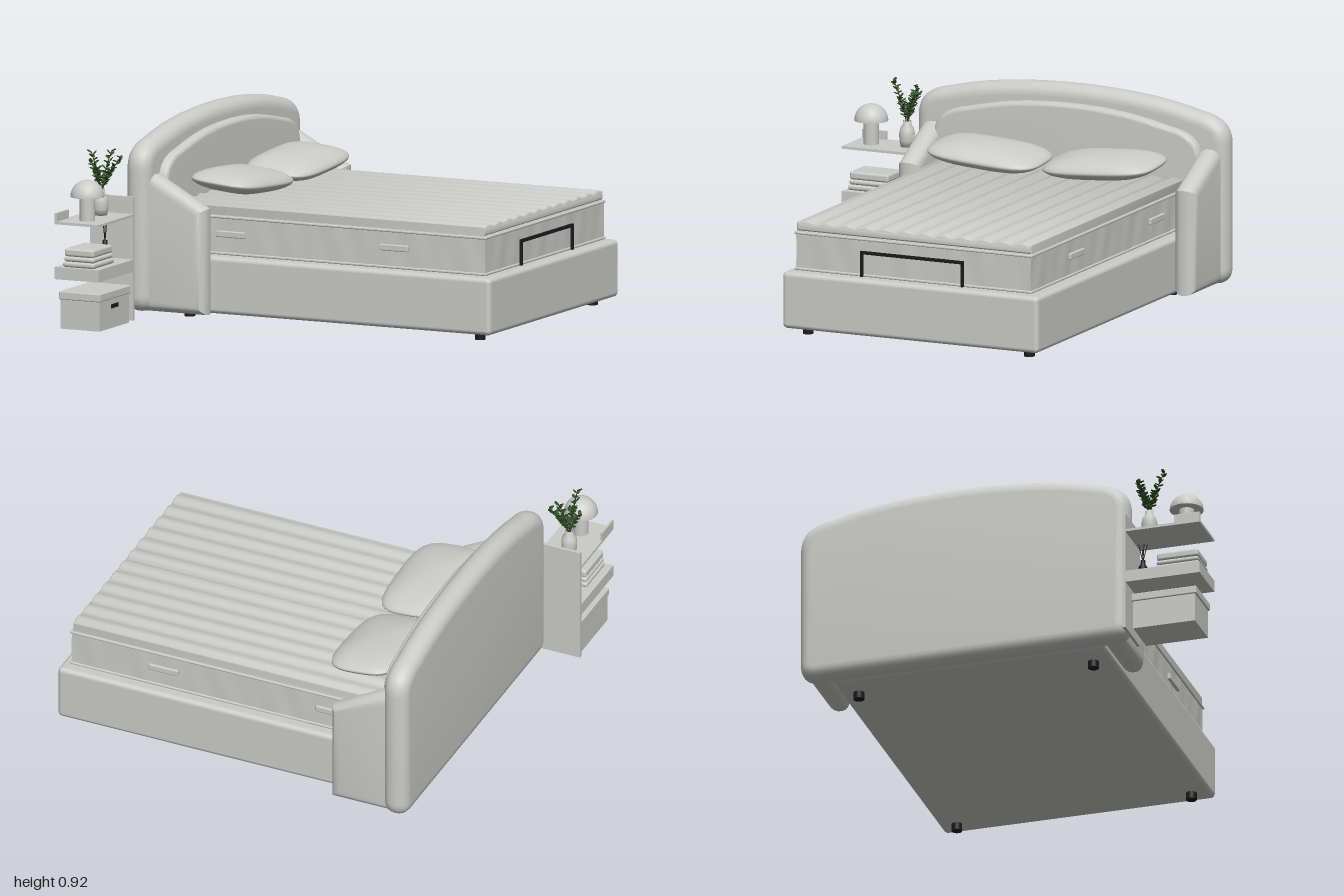
import * as THREE from 'three';
import { toCreasedNormals } from 'three/addons/utils/BufferGeometryUtils.js';
import { RoundedBoxGeometry } from 'three/addons/geometries/RoundedBoxGeometry.js';

const mat = (name, color, side = THREE.FrontSide) => {
  const m = new THREE.MeshStandardMaterial({ color, side });
  m.name = name;
  return m;
};

export function createModel() {
  const root = new THREE.Group();
  root.name = 'bedroomSet';
  const fabric = mat('paleGrey', 0xcbcbc9);
  const dark = mat('black', 0x1b1b1b);
  const green = mat('leafGreen', 0x2f4a25, THREE.DoubleSide);
  const ZC = -0.2; // centre line of the bed

  const add = (name, geo, material = fabric, x = 0, y = 0, z = 0, parent = root) => {
    const m = new THREE.Mesh(geo, material);
    m.name = name;
    m.position.set(x, y, z);
    parent.add(m);
    return m;
  };
  // Box given by its limits on each axis, optionally rounded
  const box = (name, [x0, x1], [y0, y1], [z0, z1], r = 0, material = fabric) => {
    const s = [x1 - x0, y1 - y0, z1 - z0];
    const g = r ? new RoundedBoxGeometry(...s, 3, r) : new THREE.BoxGeometry(...s);
    return add(name, g, material, (x0 + x1) / 2, (y0 + y1) / 2, (z0 + z1) / 2);
  };
  const cyl = (name, r, y0, y1, x, z, material = fabric) =>
    add(name, new THREE.CylinderGeometry(r, r, y1 - y0, 28), material, x, (y0 + y1) / 2, z);
  // Padded slab: outline extruded with a rounded rim inside its outer size
  const padded = (shape, depth, r, crease = 0.6) => toCreasedNormals(new THREE.ExtrudeGeometry(shape, {
    depth: depth - 2 * r, bevelEnabled: true, bevelThickness: r, bevelSize: r,
    bevelOffset: -r, bevelSegments: 6, curveSegments: 16,
  }).translate(0, 0, r), crease);

  // Arched headboard and its inner panel
  const arch = (w, y0, side, shoulder, top) => {
    const s = new THREE.Shape();
    const c = 0.08;
    s.moveTo(-w + c, y0);
    s.lineTo(w - c, y0);
    s.quadraticCurveTo(w, y0, w, y0 + c);
    s.lineTo(w, side);
    s.bezierCurveTo(w, shoulder - 0.03, w - 0.06, shoulder + 0.01, w - 0.16, shoulder + 0.025);
    s.bezierCurveTo(w - 0.34, top - 0.02, 0.22, top, 0, top);
    s.bezierCurveTo(-0.22, top, -w + 0.34, top - 0.02, -w + 0.16, shoulder + 0.025);
    s.bezierCurveTo(-w + 0.06, shoulder + 0.01, -w, shoulder - 0.03, -w, side);
    s.lineTo(-w, y0 + c);
    s.quadraticCurveTo(-w, y0, -w + c, y0);
    return s;
  };
  add('headboard', padded(arch(0.8, 0.035, 0.7, 0.82, 0.915), 0.125, 0.058).rotateY(Math.PI / 2),
    fabric, -0.847, 0, ZC);
  add('headboardPanel', padded(arch(0.686, 0.1, 0.62, 0.745, 0.834), 0.09, 0.02).rotateY(Math.PI / 2),
    fabric, -0.768, 0, ZC);

  // Side wings
  const wing = new THREE.Shape([
    [-0.78, 0.037], [-0.447, 0.037], [-0.447, 0.535], [-0.71, 0.68], [-0.78, 0.68],
  ].map((p) => new THREE.Vector2(...p)));
  for (const z of [-0.973, 0.453]) add('wing', padded(wing, 0.113, 0.05), fabric, 0, 0, z);

  // Base and feet
  box('bedBase', [-0.76, 0.988], [0.034, 0.302], [-0.862, 0.455], 0.022);
  for (const x of [-0.62, 0.893]) for (const z of [-0.775, 0.365]) {
    cyl('foot', 0.025, 0, 0.04, x, z, dark);
  }

  // Mattress with softly rippled sides
  const core = new THREE.BoxGeometry(1.615, 0.18, 1.212, 90, 4, 70);
  const p = core.attributes.position;
  for (let i = 0; i < p.count; i++) {
    const x = p.getX(i), z = p.getZ(i);
    const ripple = (t) => 0.003 * Math.sin(t * 38) * Math.sin(t * 9 + 1) * Math.cos(p.getY(i) * 17);
    if (Math.abs(z) > 0.6) p.setZ(i, z + Math.sign(z) * ripple(x));
    if (Math.abs(x) > 0.8) p.setX(i, x + Math.sign(x) * ripple(z));
  }
  core.computeVertexNormals();
  add('mattress', core, fabric, 0.13, 0.4, ZC);
  for (const y of [0.313, 0.483]) {
    box('mattressPiping', [-0.685, 0.945], [y - 0.006, y + 0.006], [-0.813, 0.413], 0.005);
  }
  // Handles stitched on both long sides
  for (const x of [-0.383, 0.468]) for (const s of [-1, 1]) {
    const z = ZC + s * 0.612;
    box('mattressHandle', [x - 0.075, x + 0.075], [0.39, 0.42], [z - 0.008, z + 0.008], 0.005);
  }

  // Ribbed topper
  const top = new THREE.Shape();
  top.moveTo(-0.605, 0.492);
  top.lineTo(0.605, 0.492);
  const N = 144;
  for (let i = 0; i <= N; i++) {
    const u = 0.605 - 1.21 * i / N;
    top.lineTo(u, 0.537 - 0.005 * Math.cos(i / N * Math.PI * 24));
  }
  add('topper', padded(top, 1.615, 0.01, 0.7).rotateY(Math.PI / 2), fabric, -0.68, 0, ZC);

  // Black rail at the foot end
  const rail = new THREE.Group();
  rail.name = 'footRail';
  root.add(rail);
  add('railTop', new THREE.BoxGeometry(0.012, 0.014, 0.53), dark, 0.951, 0.423, -0.198, rail);
  for (const z of [-0.457, 0.061]) {
    add('railPost', new THREE.BoxGeometry(0.012, 0.12, 0.012), dark, 0.951, 0.368, z, rail);
  }

  // Pillows: a sphere squared off in plan with thin edges
  const pillowGeo = new THREE.SphereGeometry(1, 48, 32);
  const q = pillowGeo.attributes.position;
  for (let i = 0; i < q.count; i++) {
    const x = q.getX(i), y = q.getY(i), z = q.getZ(i);
    const r = Math.hypot(x, z);
    const k = r > 1e-6 ? r / Math.pow(x ** 4 + z ** 4, 0.25) : 0;
    const f = k ? k ** 0.9 : 0;
    q.setXYZ(i, x * f * 0.178, y * Math.abs(y) ** 0.15 * 0.06, z * f * 0.285);
  }
  pillowGeo.computeVertexNormals();
  for (const [x, z, tilt] of [[-0.495, -0.49, 0.07], [-0.483, 0.097, -0.07]]) {
    add('pillow', pillowGeo, fabric, x, 0.613, z).rotation.set(tilt, 0, -0.09);
  }

  // Bedside shelf unit
  box('shelfPanel', [-1, -0.775], [0.005, 0.585], [0.625, 0.64]);
  box('upperShelf', [-1, -0.772], [0.493, 0.505], [0.638, 1]);
  box('lowerShelf', [-1, -0.772], [0.235, 0.292], [0.638, 1]);
  box('shelfLip', [-1, -0.988], [0.5, 0.545], [0.875, 1]);

  // Storage box
  box('storageBox', [-0.982, -0.78], [0, 0.145], [0.672, 0.972]);
  box('storageLid', [-0.988, -0.774], [0.138, 0.176], [0.664, 0.98], 0.005);
  box('storageHandle', [-0.782, -0.776], [0.093, 0.112], [0.785, 0.857], 0, dark);

  // Folded blankets
  [[0.292, 0.318, 0], [0.318, 0.342, 0.004], [0.342, 0.38, 0.006]].forEach(([a, b, d]) =>
    box('blanket', [-0.967 + d, -0.803 - d], [a, b], [0.773 + d, 0.985 - d], 0.0115));

  // Reed diffuser
  const lathe = (name, pts, x, y, z, material = fabric) =>
    add(name, new THREE.LatheGeometry(pts.map((v) => new THREE.Vector2(...v)), 32), material, x, y, z);
  lathe('diffuserBottle', [[0, 0], [0.021, 0], [0.021, 0.055], [0.012, 0.07], [0.011, 0.09], [0, 0.09]],
    -0.895, 0.292, 0.692, dark);
  cyl('diffuserLabel', 0.0215, 0.31, 0.325, -0.895, 0.692);
  for (const [dx, dz] of [[0.004, 0.02], [-0.006, 0.007], [0.006, -0.006], [-0.003, -0.02]]) {
    const path = new THREE.LineCurve3(new THREE.Vector3(-0.895, 0.375, 0.692),
      new THREE.Vector3(-0.895 + dx, 0.465, 0.692 + dz));
    add('diffuserReed', new THREE.TubeGeometry(path, 1, 0.002, 6), dark);
  }

  // Mushroom lamp
  cyl('lampStem', 0.036, 0.505, 0.63, -0.88, 0.9);
  add('lampShade', new THREE.SphereGeometry(0.079, 40, 16, 0, Math.PI * 2, 0, Math.PI / 2),
    fabric, -0.88, 0.617, 0.9);
  add('lampShadeBase', new THREE.CircleGeometry(0.079, 40).rotateX(Math.PI / 2), fabric, -0.88, 0.617, 0.9);

  // Vase and leafy branches
  lathe('vase', [[0, 0], [0.03, 0], [0.036, 0.03], [0.037, 0.06], [0.033, 0.085], [0.02, 0.105],
    [0.02, 0.122], [0.014, 0.122], [0.014, 0.1], [0, 0.1]], -0.9, 0.505, 0.725);
  const plant = new THREE.Group();
  plant.name = 'plant';
  root.add(plant);
  const leaf = new THREE.SphereGeometry(1, 7, 5).scale(0.009, 0.003, 0.014);
  const tips = [[-0.91, 0.81, 0.8], [-0.83, 0.77, 0.655], [-0.965, 0.75, 0.695],
    [-0.875, 0.8, 0.66], [-0.9, 0.73, 0.76], [-0.86, 0.72, 0.69]];
  tips.forEach(([x, y, z], b) => {
    const curve = new THREE.QuadraticBezierCurve3(new THREE.Vector3(-0.9, 0.6, 0.725),
      new THREE.Vector3(-0.9 + (x + 0.9) * 0.3, 0.6 + (y - 0.6) * 0.55, 0.725 + (z - 0.725) * 0.3),
      new THREE.Vector3(x, y, z));
    add('stem', new THREE.TubeGeometry(curve, 8, 0.0025, 5), green, 0, 0, 0, plant);
    for (let i = 0; i < 16; i++) {
      const c = curve.getPoint(0.32 + 0.68 * i / 15);
      const a = i * 2.4 + b;
      const m = add('leaf', leaf, green, c.x + Math.sin(a) * 0.012, c.y + 0.004, c.z + Math.cos(a) * 0.012, plant);
      m.rotation.set(-0.6 + 0.3 * Math.sin(i * 1.7), a, 0, 'YXZ');
    }
  });
  return root;
}
